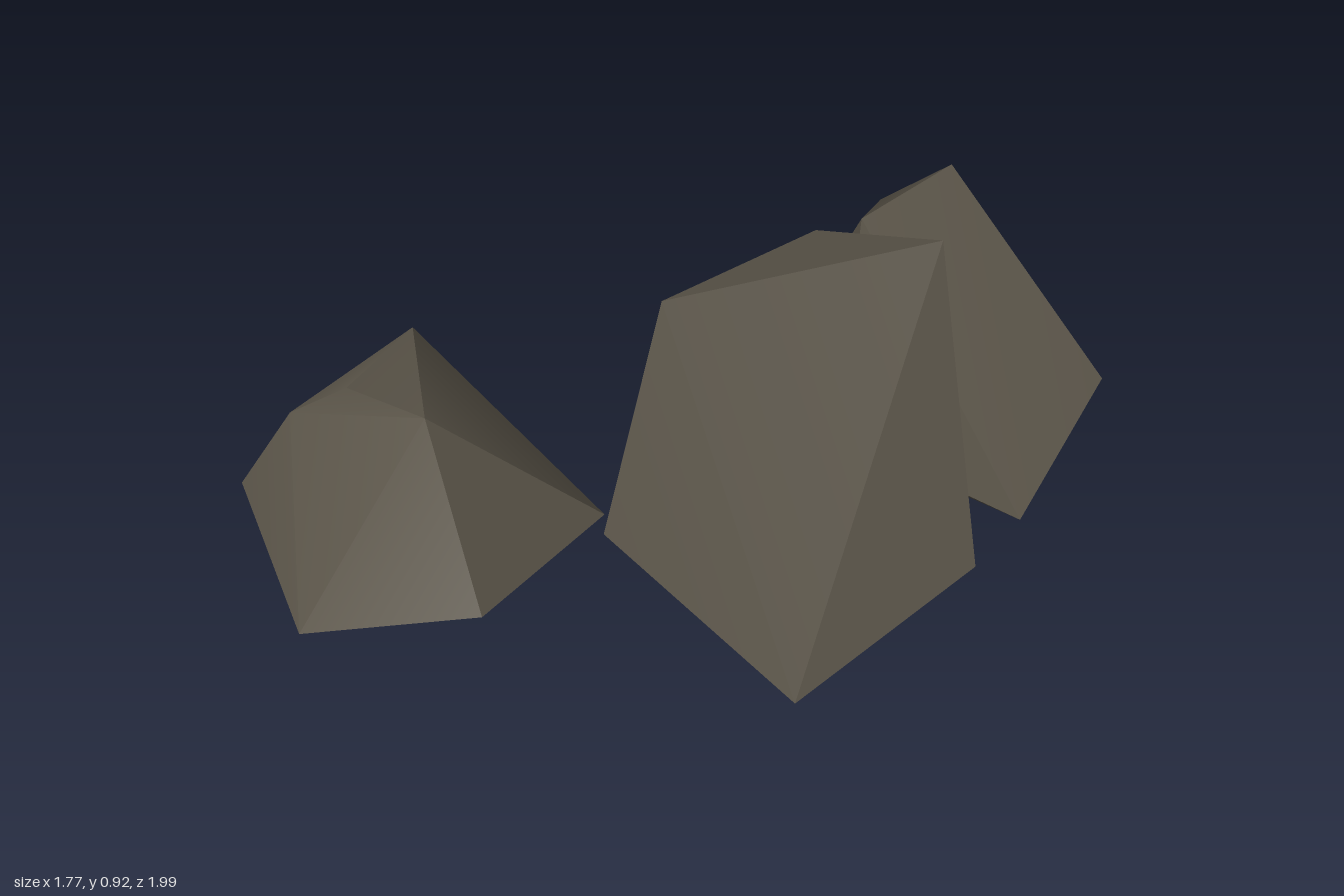
import * as THREE from 'three';
import { toCreasedNormals } from 'three/addons/utils/BufferGeometryUtils.js';
import { ConvexGeometry } from 'three/addons/geometries/ConvexGeometry.js';

// Corner points of each faceted boulder
const rocks = {
  tallRock: [
    [0.77, 0.92, 0.21], [0.28, 0.72, 0.42], [0.34, 0.72, -0.02],
    [0.23, 0.22, 0.55], [0.88, 0.22, 0.18], [0.27, 0.24, -0.09],
    [0.69, 0, 0.52], [0.02, 0, 0.08], [0.51, 0, -0.2],
  ],
  backRock: [
    [0.36, 0.69, -0.54], [0.32, 0.66, -0.23], [0.08, 0.46, -0.7],
    [0.32, 0.14, -0.16], [0.69, 0.14, -0.76], [-0.09, 0.14, -0.83],
    [0.74, 0.01, -0.29], [-0.05, 0.01, -0.33], [0.38, 0.01, -1],
  ],
  lowRock: [
    [-0.11, 0.44, 0.7], [-0.4, 0.38, 0.65], [-0.51, 0.31, 0.72], [-0.57, 0.31, 0.29],
    [-0.63, 0.11, 0.78], [0.12, 0.11, 0.8], [-0.59, 0.11, 0.2],
    [-0.89, 0.02, 0.21], [-0.22, 0.02, 0.99], [0, 0.02, 0.28],
  ],
};

export function createModel() {
  const group = new THREE.Group();
  group.name = 'rocks';
  const stone = new THREE.MeshStandardMaterial({ color: 0x5c564a });
  stone.name = 'dark stone';

  // Shallow angles blend, strong ridges stay sharp
  for (const [name, corners] of Object.entries(rocks)) {
    const hull = new ConvexGeometry(corners.map((c) => new THREE.Vector3(...c)));
    const mesh = new THREE.Mesh(toCreasedNormals(hull, Math.PI / 6), stone);
    mesh.name = name;
    group.add(mesh);
  }
  return group;
}
